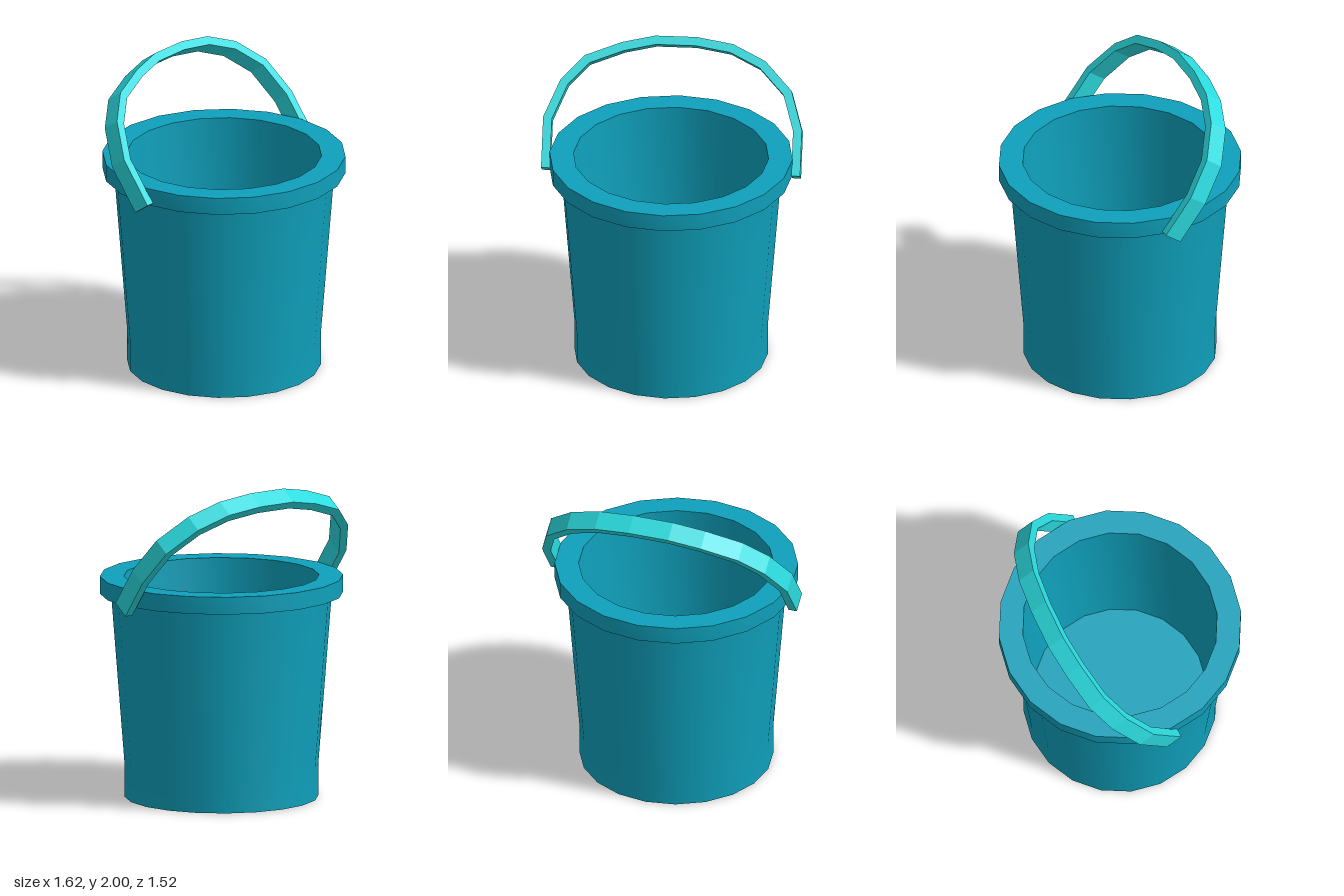
import * as THREE from 'three';
import { toCreasedNormals } from 'three/addons/utils/BufferGeometryUtils.js';

// Offset an open path sideways by d with mitred corners; ends stay level
function offsetPath(points, d) {
  return points.map((p, i) => {
    const a = points[Math.max(i - 1, 0)], b = points[Math.min(i + 1, points.length - 1)];
    const d1 = p.clone().sub(a), d2 = b.clone().sub(p);
    if (i === 0) d1.copy(d2);
    if (i === points.length - 1) d2.copy(d1);
    const n1 = new THREE.Vector2(-d1.y, d1.x).normalize();
    const n2 = new THREE.Vector2(-d2.y, d2.x).normalize();
    const miter = n1.clone().add(n2).normalize();
    return p.clone().addScaledVector(miter, d / miter.dot(n1));
  });
}

export function createModel() {
  const group = new THREE.Group();

  // Bucket: base, tapered wall, overhanging rim, inner wall and floor
  const profile = [
    [0, 0], [0.605, 0], [0.605, 0.2], [0.69, 1.29], [0.76, 1.29],
    [0.76, 1.4], [0.61, 1.4], [0.54, 0.2], [0, 0.2],
  ].map(([x, y]) => new THREE.Vector2(x, y));
  const bucket = new THREE.Mesh(
    toCreasedNormals(new THREE.LatheGeometry(profile, 20), 0.6),
    new THREE.MeshStandardMaterial({ color: 0x0fa0bb }),
  );
  bucket.name = 'bucket';
  group.add(bucket);

  // Handle: flat faceted strap, drawn upright and then tipped back
  const outer = [
    [0.81, 0], [0.81, 0.29], [0.735, 0.535], [0.565, 0.715], [0.36, 0.815], [0.13, 0.852],
    [-0.13, 0.852], [-0.336, 0.805], [-0.565, 0.715], [-0.71, 0.56], [-0.81, 0.32], [-0.81, 0],
  ].map(([x, y]) => new THREE.Vector2(x, y));
  const inner = offsetPath(outer, 0.055);
  const width = 0.122;
  const strap = new THREE.ExtrudeGeometry(
    new THREE.Shape([...outer, ...inner.reverse()]),
    { depth: width, bevelEnabled: false },
  );
  strap.translate(0, 0, -width / 2);
  const handle = new THREE.Mesh(strap, new THREE.MeshStandardMaterial({ color: 0x2bdbdf }));
  handle.name = 'handle';
  handle.position.y = 1.275;
  handle.rotation.x = -Math.PI / 5;
  group.add(handle);

  return group;
}
